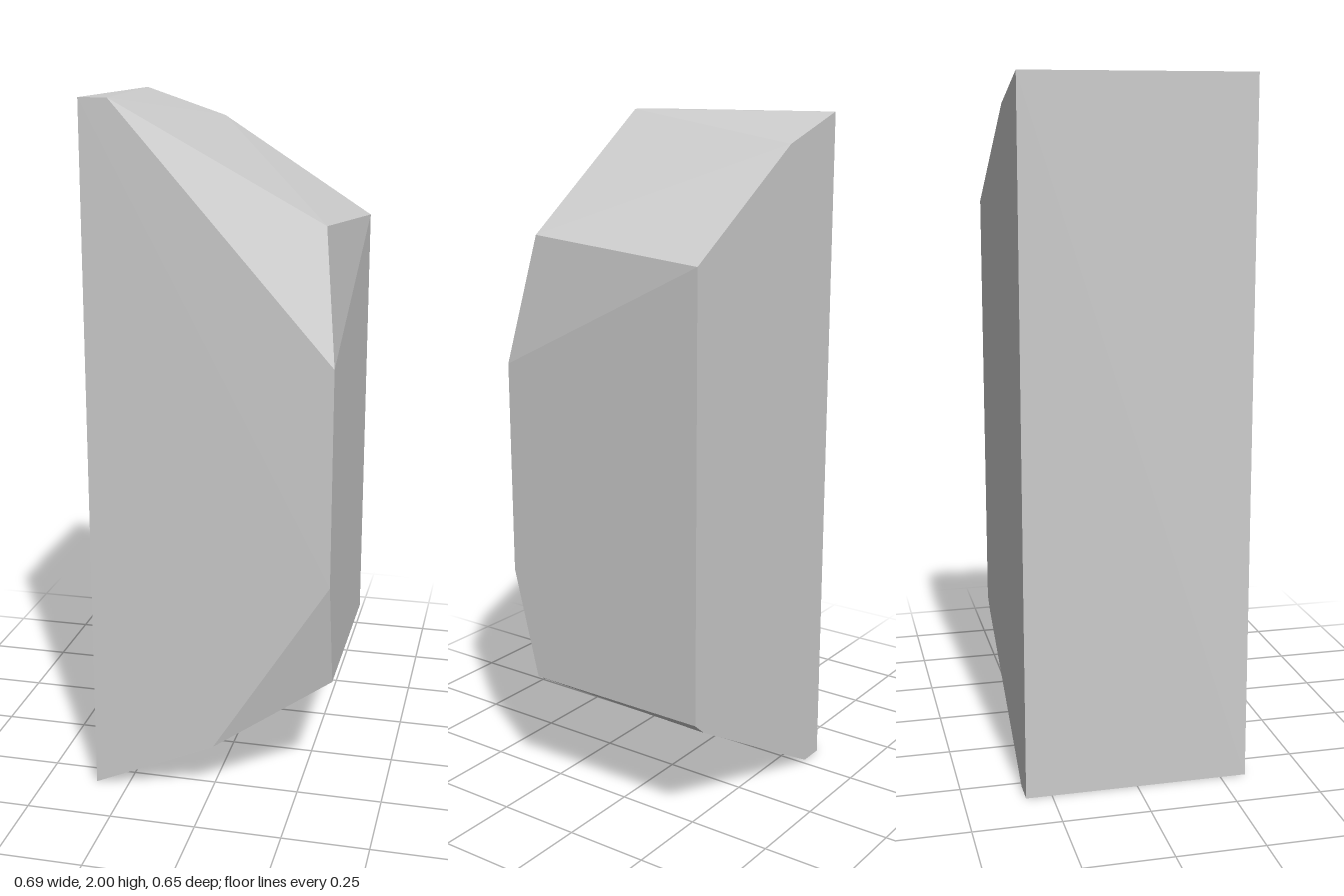
import * as THREE from 'three';
import { ConvexGeometry } from 'three/addons/geometries/ConvexGeometry.js';

export function createModel() {
  const group = new THREE.Group();
  group.name = 'stonePillar';
  const R = 0.347, T = -0.342, Z = 0.325; // right side, upper left edge, half depth

  const corners = [
    // flat top and its sloping right side
    [T, 2, Z], [-0.262, 2, Z], [T, 2, -Z], [-0.1, 1.92, -Z],
    // upper right shoulder, chipped at the front
    [0.307, 1.675, 0.244], [R, 1.635, -Z], [R, 1.31, Z],
    // lower right shoulder, chipped at the front
    [R, 0.69, Z], [R, 0.367, 0.244], [R, 0.367, -Z], [0.305, 0.33, -Z],
    // sloping underside and foot
    [0.012, 0.16, Z], [-R, 0, Z], [-0.27, 0, -Z], [-R, 0, -Z],
  ].map((p) => new THREE.Vector3(...p));

  const stone = new THREE.Mesh(
    new ConvexGeometry(corners),
    new THREE.MeshStandardMaterial({ color: 0xcccccc, flatShading: true })
  );
  stone.name = 'chippedStone';
  group.add(stone);
  return group;
}
